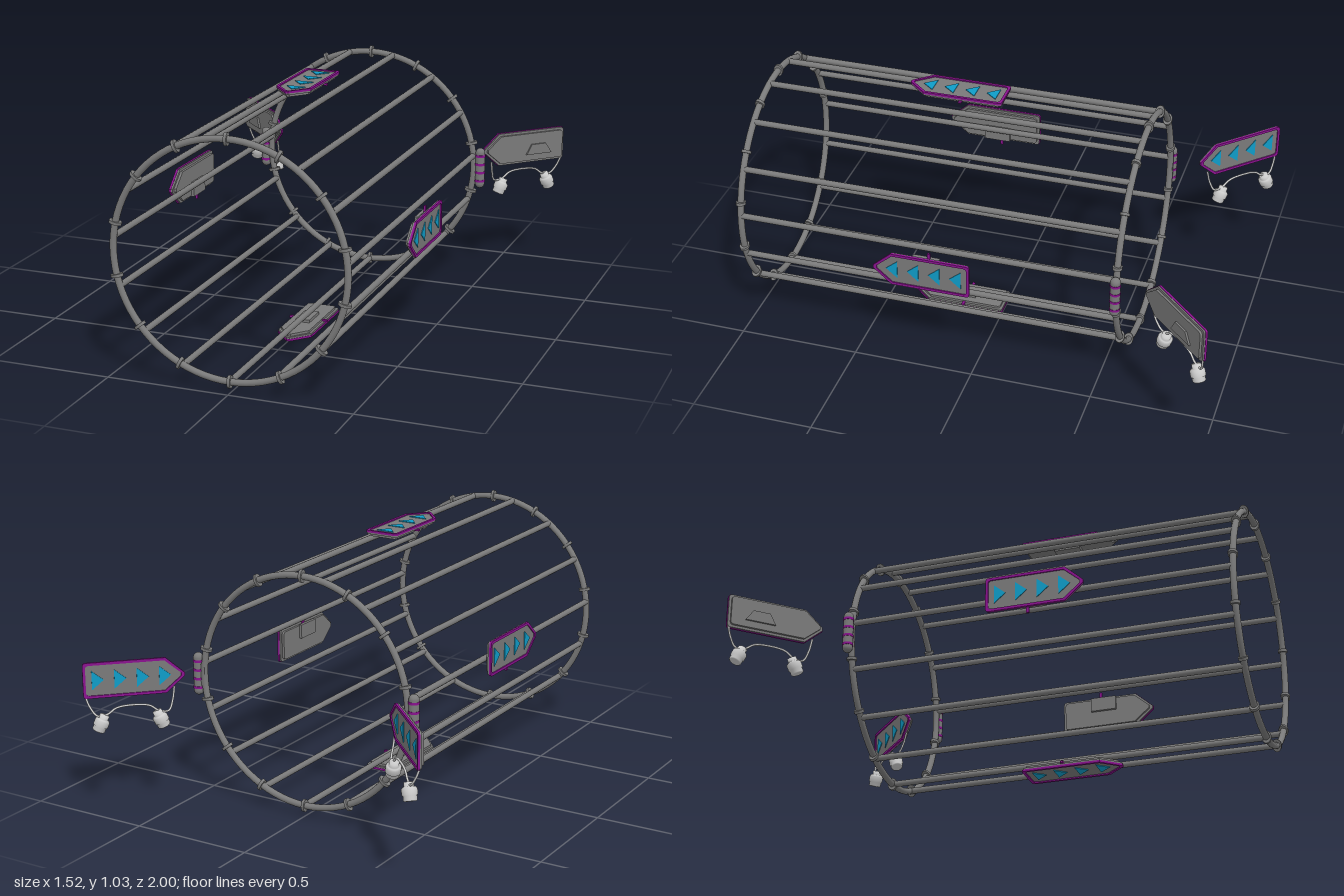
import * as THREE from 'three';

const light = new THREE.MeshStandardMaterial({ color: 0xcccccc });
const dark = new THREE.MeshStandardMaterial({ color: 0x7a7a7a });
const purple = new THREE.MeshStandardMaterial({ color: 0x8a128f });
const cyan = new THREE.MeshStandardMaterial({ color: 0x0f9cc8 });

const CY = 0.516, R = 0.47, FRONT = 0.979, BACK = -0.583;
const V = (x, y, z) => new THREE.Vector3(x, y, z);

function add(parent, name, geometry, material, x = 0, y = 0, z = 0) {
  const mesh = new THREE.Mesh(geometry, material);
  mesh.name = name;
  mesh.position.set(x, y, z);
  parent.add(mesh);
  return mesh;
}

const extrude = (shape, depth) => new THREE.ExtrudeGeometry(shape, { depth, bevelEnabled: false, curveSegments: 4 });
const polygon = (pts) => new THREE.Shape(pts.map(([x, y]) => new THREE.Vector2(x, y)));

// Arrow outline pointing along +x with rounded rear corners, shrunk by i
function arrowShape(i) {
  const h = 0.073 - i, r = 0.014, b = i, s = 0.325 - i * 0.4, t = 0.4 - i * 1.3;
  const p = new THREE.Shape();
  p.moveTo(b + r, -h);
  p.lineTo(s, -h);
  p.lineTo(t, -0.006);
  p.lineTo(t, 0.006);
  p.lineTo(s, h);
  p.lineTo(b + r, h);
  p.quadraticCurveTo(b, h, b, h - r);
  p.lineTo(b, r - h);
  p.quadraticCurveTo(b, -h, b + r, -h);
  return p;
}

// Arrow sign: length along x, face at z = 0 looking along +z
function makeSign(name) {
  const g = new THREE.Group();
  g.name = name;
  const rim = arrowShape(0);
  rim.holes.push(arrowShape(0.011));
  add(g, 'signRim', extrude(rim, 0.009), purple, 0, 0, -0.009);
  add(g, 'signBoard', extrude(arrowShape(0.002), 0.011), dark, 0, 0, -0.016);
  add(g, 'signBackPlate', extrude(arrowShape(0.012), 0.011), dark, 0, 0, -0.026);
  for (let k = 0; k < 4; k++) {
    const x = 0.035 + k * 0.088;
    const tri = polygon([[x, -0.039], [x + 0.047, 0], [x, 0.039]]);
    add(g, 'signArrow', extrude(tri, 0.003), cyan, 0, 0, -0.005);
  }
  return g;
}

// Orient a sign so that it faces w and points along u
function place(group, u, w, pos) {
  const v = w.clone().cross(u);
  group.quaternion.setFromRotationMatrix(new THREE.Matrix4().makeBasis(u, v, w));
  group.position.copy(pos);
}

// Bent wire bracket and two lamps hanging below a corner sign
function addLamps(g, up) {
  const path = [[0.008, -0.065, -0.01], [0.022, -0.105, 0], [0.05, -0.142, 0.012], [0.09, -0.138, 0.012],
    [0.12, -0.117, 0.012], [0.15, -0.109, 0.012], [0.23, -0.109, 0.012], [0.26, -0.117, 0.012],
    [0.29, -0.138, 0.012], [0.33, -0.142, 0.012], [0.348, -0.105, 0], [0.358, -0.05, -0.01]];
  const curve = new THREE.CatmullRomCurve3(path.map(([x, y, z]) => V(x, y * up, z)));
  add(g, 'lampBracket', new THREE.TubeGeometry(curve, 60, 0.0045, 8), light);

  const profile = [[0, -0.034], [0.022, -0.034], [0.026, -0.03], [0.026, -0.013], [0.03, -0.011], [0.03, 0.012],
    [0.024, 0.018], [0.019, 0.02], [0.019, 0.036], [0, 0.038]].map(([x, y]) => new THREE.Vector2(x, y));
  for (const [x, tilt] of [[0.064, -0.42], [0.298, 0.42]]) {
    const lamp = add(g, 'lamp', new THREE.LatheGeometry(profile, 20), light, x, -0.173 * up, 0.012);
    lamp.rotation.z = up > 0 ? tilt : Math.PI - tilt;
  }
}

export function createModel() {
  const model = new THREE.Group();
  model.name = 'arrowGate';

  // End rings with flattened clamps spaced around them
  for (const z of [FRONT, BACK]) {
    add(model, 'endRing', new THREE.TorusGeometry(R, 0.0135, 12, 84), dark, 0, CY, z);
    for (let k = 0; k < 14; k++) {
      const a = Math.PI / 2 + (k * Math.PI * 2) / 14;
      const clamp = add(model, 'ringClamp', new THREE.CylinderGeometry(0.026, 0.026, 0.012, 14), dark,
        R * Math.cos(a), CY + R * Math.sin(a), z);
      clamp.rotation.z = a;
      clamp.scale.z = 0.75;
    }
  }

  // Long bars joining the rings
  for (let k = 0; k < 15; k++) {
    const a = -Math.PI / 2 + (k * Math.PI * 2) / 15;
    const bar = add(model, 'cageBar', new THREE.CylinderGeometry(0.0125, 0.0125, FRONT - BACK, 12), dark,
      R * Math.cos(a), CY + R * Math.sin(a), (FRONT + BACK) / 2);
    bar.rotation.x = Math.PI / 2;
  }

  // Four signs around the cage, all pointing forward: strap length, strap and foot offsets
  const cageSigns = [
    ['topSign', V(0, 1, 0), V(0, 1.032, 0), 0.164, 0, 0],
    ['bottomSign', V(0, -1, 0), V(0, 0, 0), 0.164, 0, 0],
    ['leftSign', V(1, 0, 0), V(0.513, 0.465, 0), 0.12, -0.034, -0.035],
    ['rightSign', V(-1, 0, 0), V(-0.513, 0.575, 0), 0.12, -0.034, -0.035],
  ];
  for (const [name, w, pos, length, strapY, footY] of cageSigns) {
    const sign = makeSign(name);
    add(sign, 'signFoot', new THREE.BoxGeometry(0.11, 0.06, 0.014), dark, 0.185, footY, -0.031);
    add(sign, 'signStrap', new THREE.BoxGeometry(0.012, length, 0.008), purple, 0.17, strapY, -0.018);
    place(sign, V(0, 0, 1), w, pos);
    model.add(sign);
  }

  for (const s of [1, -1]) {
    const side = s > 0 ? 'left' : 'right';

    // Upright hinge on the back ring, with coloured bands
    const hinge = new THREE.Group();
    hinge.name = side + 'Hinge';
    hinge.position.set(s * 0.498, CY - 0.004, BACK - 0.003);
    add(hinge, 'hingePin', new THREE.CapsuleGeometry(0.0205, 0.136, 6, 18), dark);
    add(hinge, 'hingeBracket', new THREE.BoxGeometry(0.03, 0.09, 0.018), dark, -s * 0.02, 0, 0);
    for (const y of [-0.055, -0.018, 0.018, 0.055]) {
      add(hinge, 'hingeBand', new THREE.CylinderGeometry(0.022, 0.022, 0.01, 18), purple, 0, y, 0);
    }
    model.add(hinge);

    // Angled sign behind the cage, pointing towards its opening
    const a = Math.SQRT1_2;
    const sign = makeSign(side + 'RearSign');
    const bump = polygon([[0.07, -0.033 * s], [0.195, -0.033 * s], [0.17, 0.012 * s], [0.1, 0.012 * s]]);
    add(sign, 'signBackBump', extrude(bump, 0.01), dark, 0, 0, -0.034);
    addLamps(sign, s);
    place(sign, V(-s * a, 0, a), V(-s * a, 0, -a), V(s * 0.752, 0.551, -0.998));
    model.add(sign);
  }
  return model;
}
